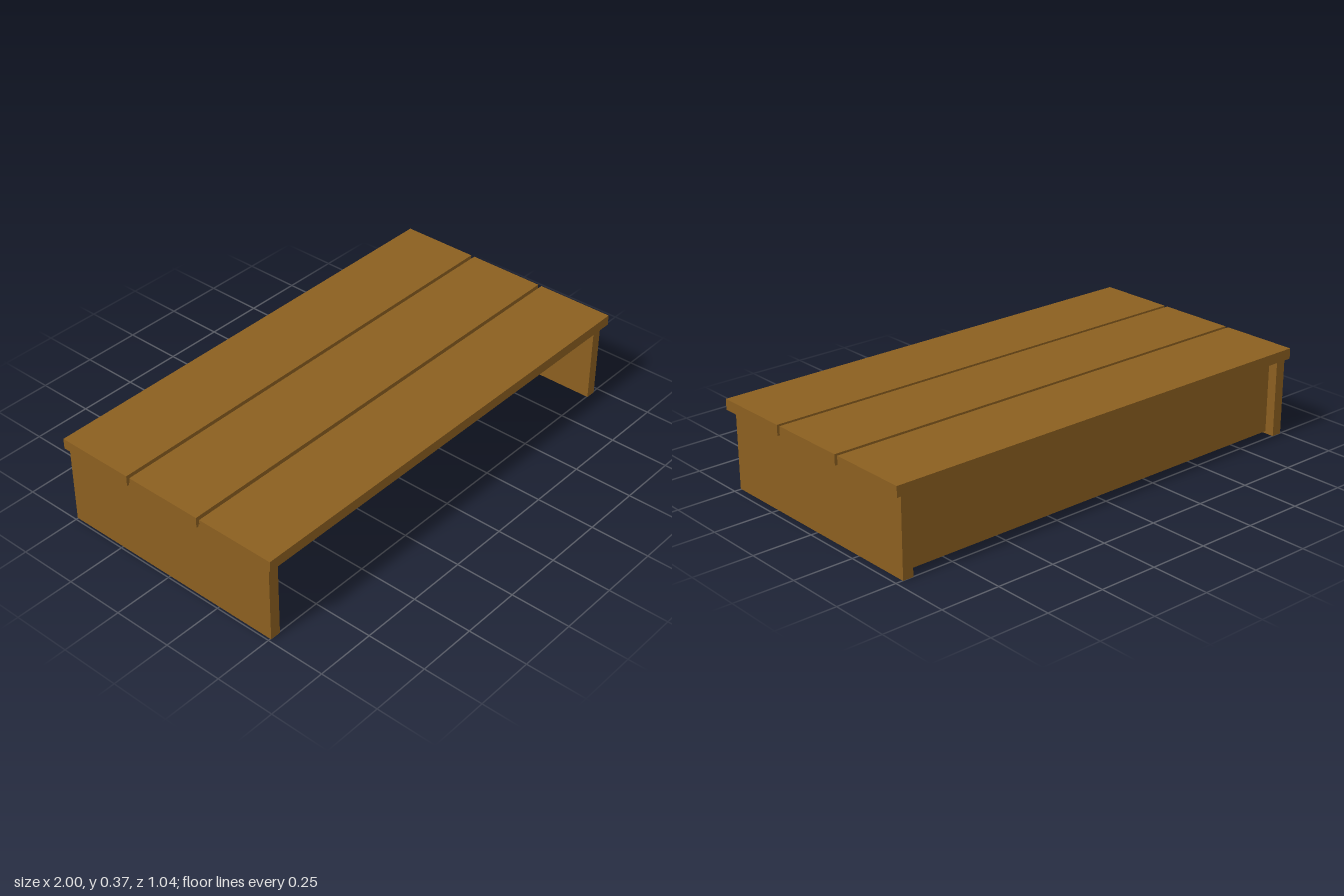
import * as THREE from 'three';

export function createModel() {
  const model = new THREE.Group();
  model.name = 'lowBench';
  const wood = new THREE.MeshStandardMaterial({ color: 0x8b5f20 });
  wood.name = 'brown wood';

  // Board spanning the given [min, max] ranges
  function board(name, [x0, x1], [y0, y1], [z0, z1]) {
    const mesh = new THREE.Mesh(new THREE.BoxGeometry(x1 - x0, y1 - y0, z1 - z0), wood);
    mesh.position.set((x0 + x1) / 2, (y0 + y1) / 2, (z0 + z1) / 2);
    mesh.name = name;
    model.add(mesh);
  }

  // Three top planks with narrow gaps
  ['backPlank', 'middlePlank', 'frontPlank'].forEach((name, i) => {
    const z = (i - 1) * 0.352;
    board(name, [-1, 1], [0.33, 0.374], [z - 0.168, z + 0.168]);
  });

  // Side panels that carry the planks, set slightly towards -x
  board('leftSide', [0.925, 0.97], [0, 0.337], [-0.502, 0.504]);
  board('rightSide', [-0.99, -0.945], [0, 0.337], [-0.502, 0.504]);

  // Back panel, recessed between the sides
  board('backPanel', [-0.935, 0.926], [0.015, 0.315], [-0.47, -0.426]);

  return model;
}
